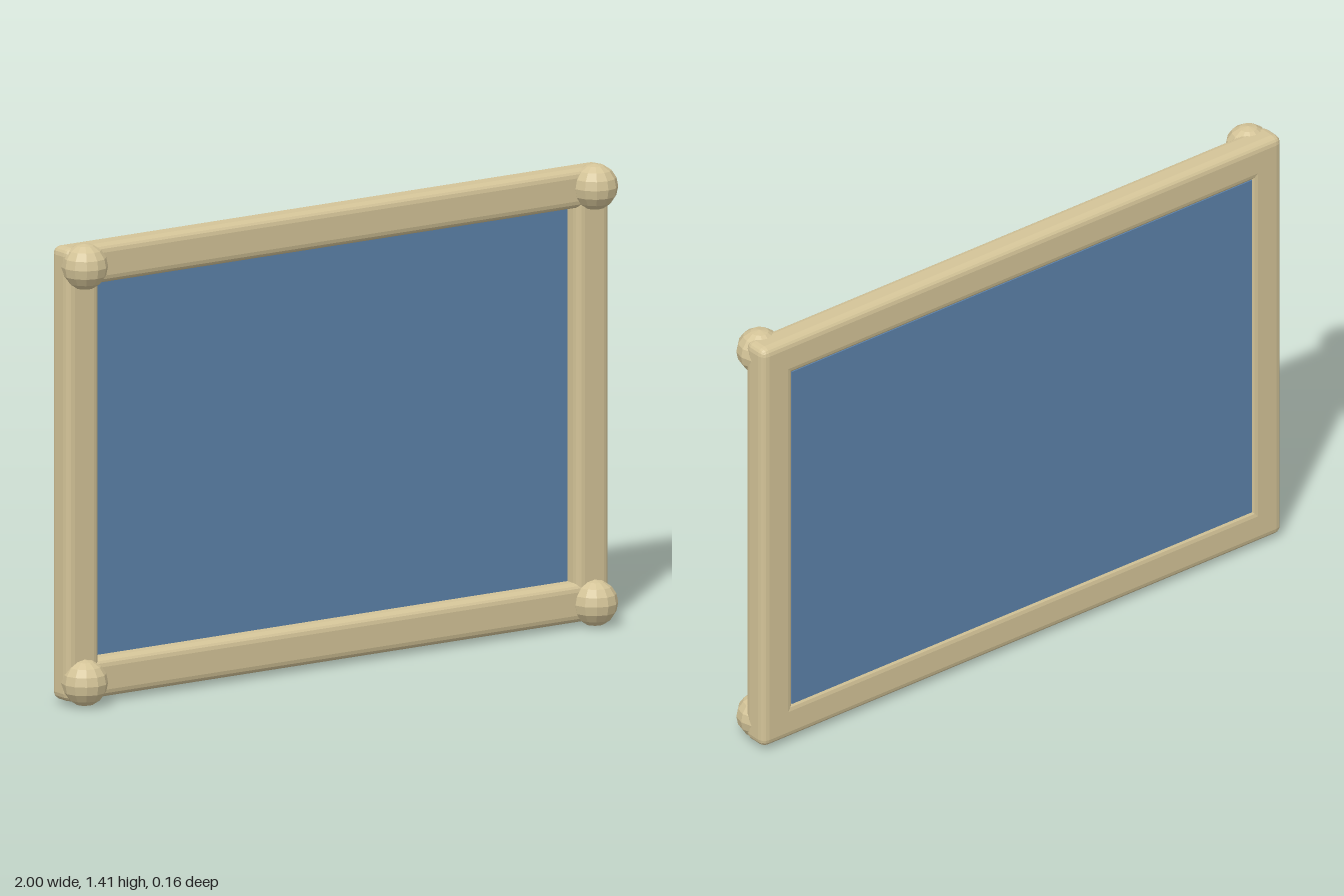
import * as THREE from 'three';
import { RoundedBoxGeometry } from 'three/addons/geometries/RoundedBoxGeometry.js';

export function createModel() {
  const model = new THREE.Group();
  const wood = new THREE.MeshStandardMaterial({ color: 0xd4c498, flatShading: true });
  wood.name = 'pale wood';
  const blue = new THREE.MeshStandardMaterial({ color: 0x5c82aa, flatShading: true });
  blue.name = 'panel blue';

  const midY = 0.705, barX = 0.93, barY = 0.63;
  const barWidth = 0.12, barDepth = 0.09, barZ = -0.035;

  function add(name, geometry, material, x, y, z) {
    const mesh = new THREE.Mesh(geometry, material);
    mesh.name = name;
    mesh.position.set(x, y, z);
    model.add(mesh);
  }

  // Frame bars with softened edges
  const post = new RoundedBoxGeometry(barWidth, 1.38, barDepth, 2, 0.025);
  const rail = new RoundedBoxGeometry(1.98, barWidth, barDepth, 2, 0.025);
  const knob = new THREE.SphereGeometry(0.07, 12, 8);

  for (const s of [-1, 1]) {
    add(s > 0 ? 'leftPost' : 'rightPost', post, wood, s * barX, midY, barZ);
    add(s > 0 ? 'topRail' : 'bottomRail', rail, wood, 0, midY + s * barY, barZ);
    // Round knobs on the front corners
    for (const t of [-1, 1]) {
      add((t > 0 ? 'top' : 'bottom') + (s > 0 ? 'Left' : 'Right') + 'Knob',
        knob, wood, s * barX, midY + t * 0.633, 0.011);
    }
  }

  // Panel set back within the frame
  add('panel', new THREE.BoxGeometry(1.752, 1.152, 0.03), blue, 0, midY, -0.06);

  return model;
}
